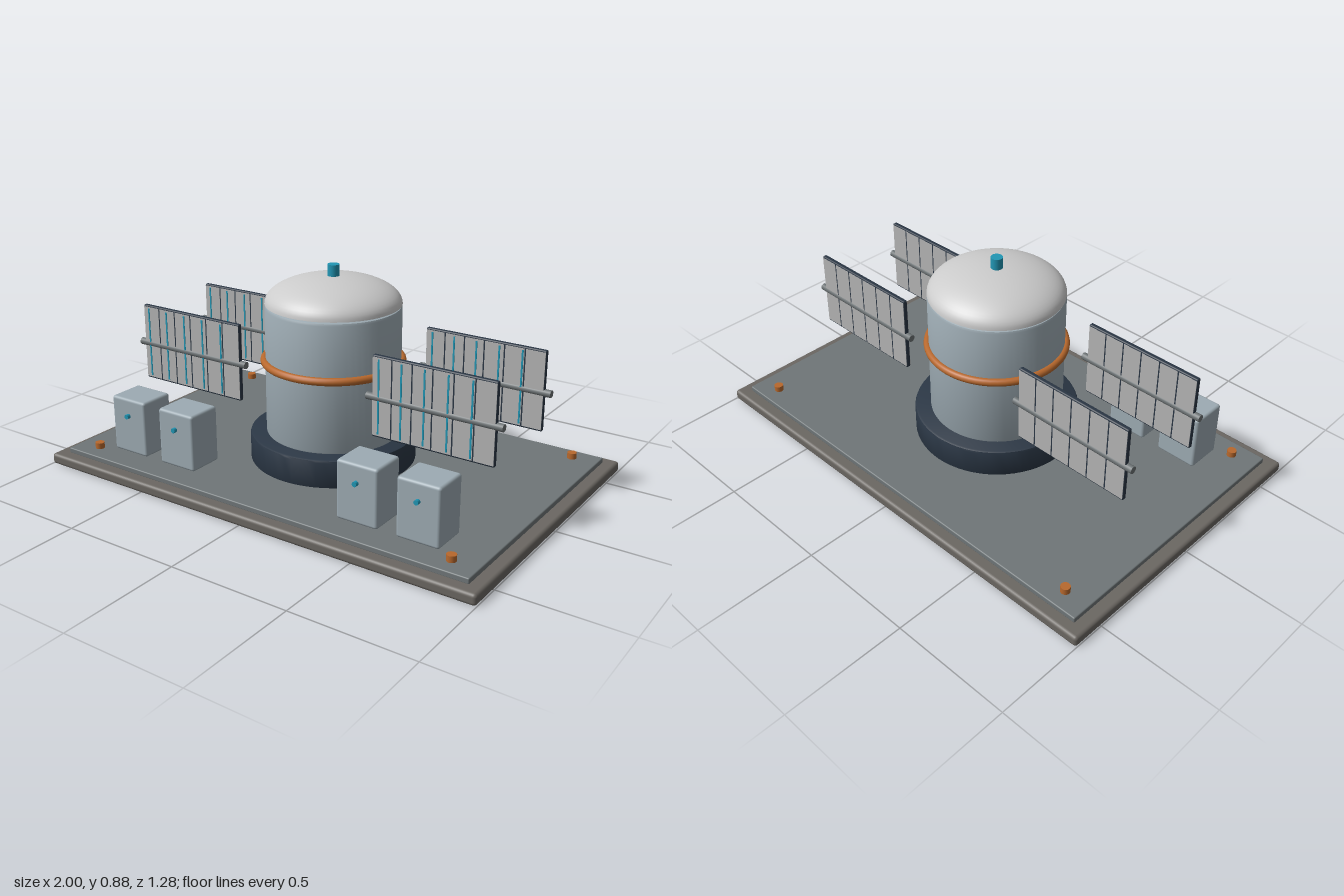
import * as THREE from 'three';
import { RoundedBoxGeometry } from 'three/addons/geometries/RoundedBoxGeometry.js';
import { toCreasedNormals } from 'three/addons/utils/BufferGeometryUtils.js';

const paint = (color) => new THREE.MeshStandardMaterial({ color });
const stone = paint(0x6b6762), deck = paint(0x6f7678), navy = paint(0x2a3644);
const steel = paint(0x9dabb3), pale = paint(0xc4c4c4), cell = paint(0xb4b4b4);
const copper = paint(0xb8682c), teal = paint(0x2196b4), iron = paint(0x6c7274);

export function createModel() {
  const model = new THREE.Group();

  function add(parent, name, geometry, material, x = 0, y = 0, z = 0) {
    const mesh = new THREE.Mesh(geometry, material);
    mesh.name = name;
    mesh.position.set(x, y, z);
    parent.add(mesh);
    return mesh;
  }
  const rounded = (w, h, d, r) => new RoundedBoxGeometry(w, h, d, 3, r);
  const rod = (r, h, sides = 20) => new THREE.CylinderGeometry(r, r, h, sides);

  // Closed drum with small bevels, standing on y0
  function drum(r, y0, y1, b) {
    const points = [[0, y0], [r - b, y0], [r - b * 0.3, y0 + b * 0.3], [r, y0 + b],
      [r, y1 - b], [r - b * 0.3, y1 - b * 0.3], [r - b, y1], [0, y1]];
    const lathe = new THREE.LatheGeometry(points.map((p) => new THREE.Vector2(...p)), 64);
    return toCreasedNormals(lathe, 0.6);
  }

  // Base slab and deck
  add(model, 'baseSlab', rounded(2, 0.046, 1.276, 0.014), stone, 0, 0.023);
  add(model, 'deckPlate', rounded(1.894, 0.024, 1.174, 0.005), deck, 0, 0.055);

  // Central tank
  add(model, 'tankFoot', drum(0.341, 0.06, 0.182, 0.01), navy);
  add(model, 'tankBody', drum(0.275, 0.175, 0.716, 0.012), steel);
  const domePoints = [new THREE.Vector2(0, 0.72)];
  for (let i = 0; i <= 16; i++) {
    const a = (i / 16) * Math.PI / 2;
    domePoints.push(new THREE.Vector2(0.275 * Math.cos(a), 0.72 + 0.11 * Math.sin(a)));
  }
  const dome = new THREE.LatheGeometry(domePoints, 64);
  add(model, 'tankDome', toCreasedNormals(dome, 0.7), pale);
  const band = add(model, 'tankBand', new THREE.TorusGeometry(0.279, 0.016, 14, 64), copper, 0, 0.484);
  band.rotation.x = Math.PI / 2;
  add(model, 'topCap', rod(0.024, 0.06, 24), teal, 0, 0.846);

  // Panels on rails: dark core, plates on both faces, strips on the front
  const panelW = 0.518, panelH = 0.328, plates = 6, pitch = panelW / plates;
  for (const sx of [-1, 1]) {
    for (const z of [-0.2, 0.2]) {
      const panel = new THREE.Group();
      panel.name = 'panel';
      panel.position.set(sx * 0.577, 0.458, z);
      model.add(panel);
      add(panel, 'panelCore', rounded(panelW, panelH, 0.02, 0.006), navy);
      for (let i = 0; i < plates; i++) {
        const x = (i - (plates - 1) / 2) * pitch;
        for (const side of [-1, 1]) {
          add(panel, 'panelPlate', new THREE.BoxGeometry(pitch - 0.006, panelH - 0.014, 0.004),
            cell, x, 0, side * 0.0088);
        }
      }
      for (let i = 0; i < 5; i++) {
        add(panel, 'panelStrip', new THREE.BoxGeometry(0.007, 0.3, 0.005), teal,
          -0.229 + i * 0.098, 0, 0.0105);
      }
      const rail = add(panel, 'panelRail', rod(0.015, 0.572), iron, 0, -0.006, 0);
      rail.rotation.z = Math.PI / 2;
    }

    // Cabinets with a small front button
    for (const x of [0.432, 0.687]) {
      const cabinet = new THREE.Group();
      cabinet.name = 'cabinet';
      cabinet.position.set(sx * x, 0.19, 0.409);
      model.add(cabinet);
      add(cabinet, 'cabinetBody', rounded(0.178, 0.238, 0.154, 0.012), steel);
      const button = add(cabinet, 'cabinetButton', rod(0.01, 0.018, 12), teal, 0, 0.046, 0.083);
      button.rotation.x = Math.PI / 2;
    }

    // Corner bolts
    for (const z of [-0.513, 0.513]) {
      add(model, 'cornerBolt', rod(0.019, 0.03), copper, sx * 0.84, 0.077, z);
    }
  }
  return model;
}
